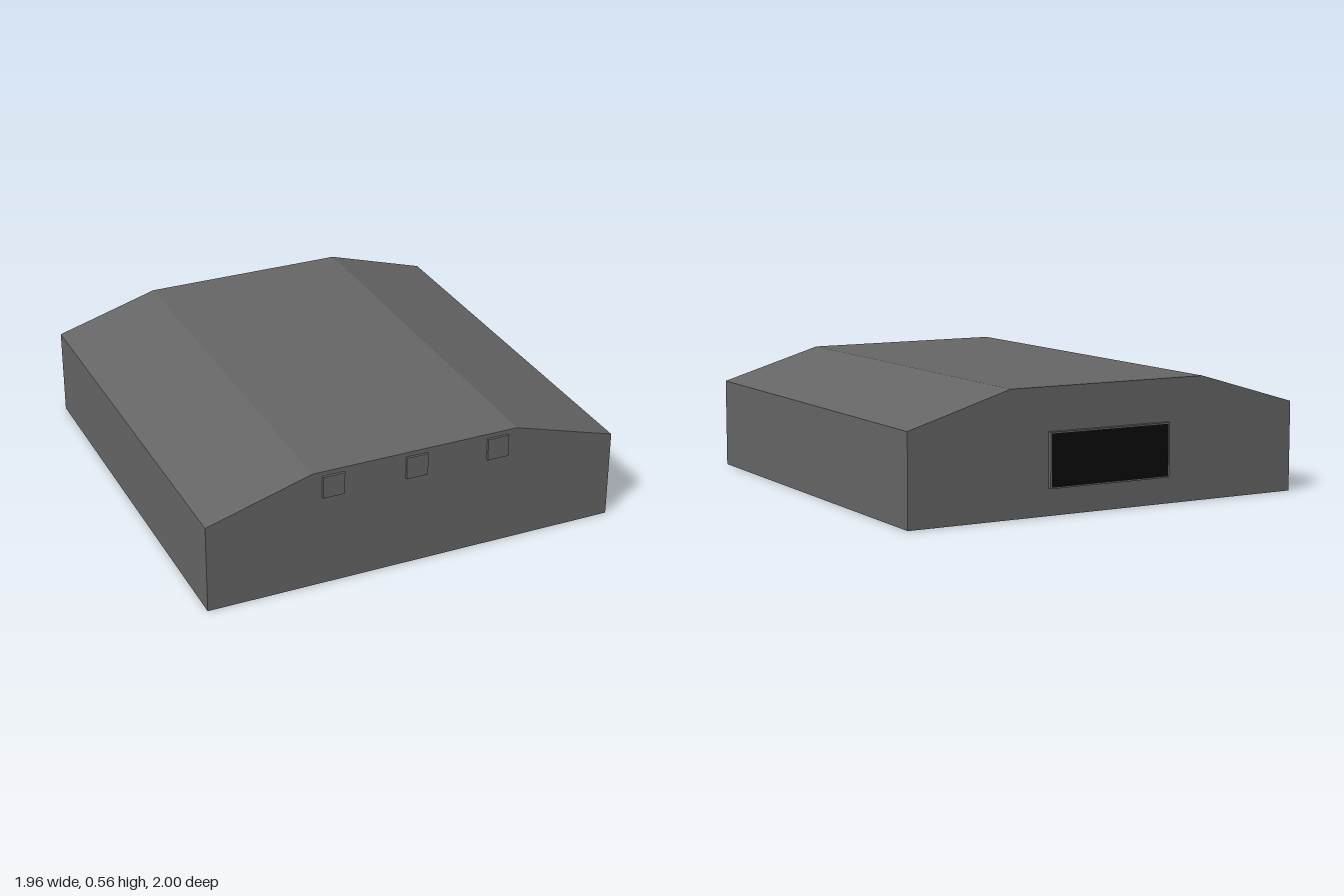
import * as THREE from 'three';

export function createModel() {
  const model = new THREE.Group();
  const casing = new THREE.MeshStandardMaterial({ color: 0x666666 });
  casing.name = 'casingGrey';
  const dark = new THREE.MeshStandardMaterial({ color: 0x0a0a0a });
  dark.name = 'panelBlack';

  const add = (name, geometry, material, x = 0, y = 0, z = 0) => {
    const mesh = new THREE.Mesh(geometry, material);
    mesh.name = name;
    mesh.position.set(x, y, z);
    model.add(mesh);
  };

  // Body: bevelled-shoulder profile extruded from back to front
  const profile = new THREE.Shape([
    [-0.98, 0], [0.98, 0], [0.98, 0.415], [0.49, 0.56], [-0.49, 0.56], [-0.98, 0.415],
  ].map(([x, y]) => new THREE.Vector2(x, y)));
  add('body', new THREE.ExtrudeGeometry(profile, { depth: 1.968, bevelEnabled: false }),
    casing, 0, 0, -0.98);

  // Three square buttons on the front
  for (const x of [-0.395, 0, 0.395]) {
    add('button', new THREE.BoxGeometry(0.102, 0.104, 0.02), casing, x, 0.487, 0.99);
  }

  // Rear frame: rails above and below, posts at the ends
  const width = 0.61, height = 0.246, rim = 0.006, midY = 0.243, midZ = -0.989;
  for (const side of [-1, 1]) {
    add('frameRail', new THREE.BoxGeometry(width, rim, 0.022), casing,
      0, midY + side * (height - rim) / 2, midZ);
    add('framePost', new THREE.BoxGeometry(rim, height - 2 * rim, 0.022), casing,
      side * (width - rim) / 2, midY, midZ);
  }

  // Black panel set within the frame
  add('rearPanel', new THREE.BoxGeometry(width - 2 * rim, height - 2 * rim, 0.008), dark,
    0, midY, -0.995);

  return model;
}
